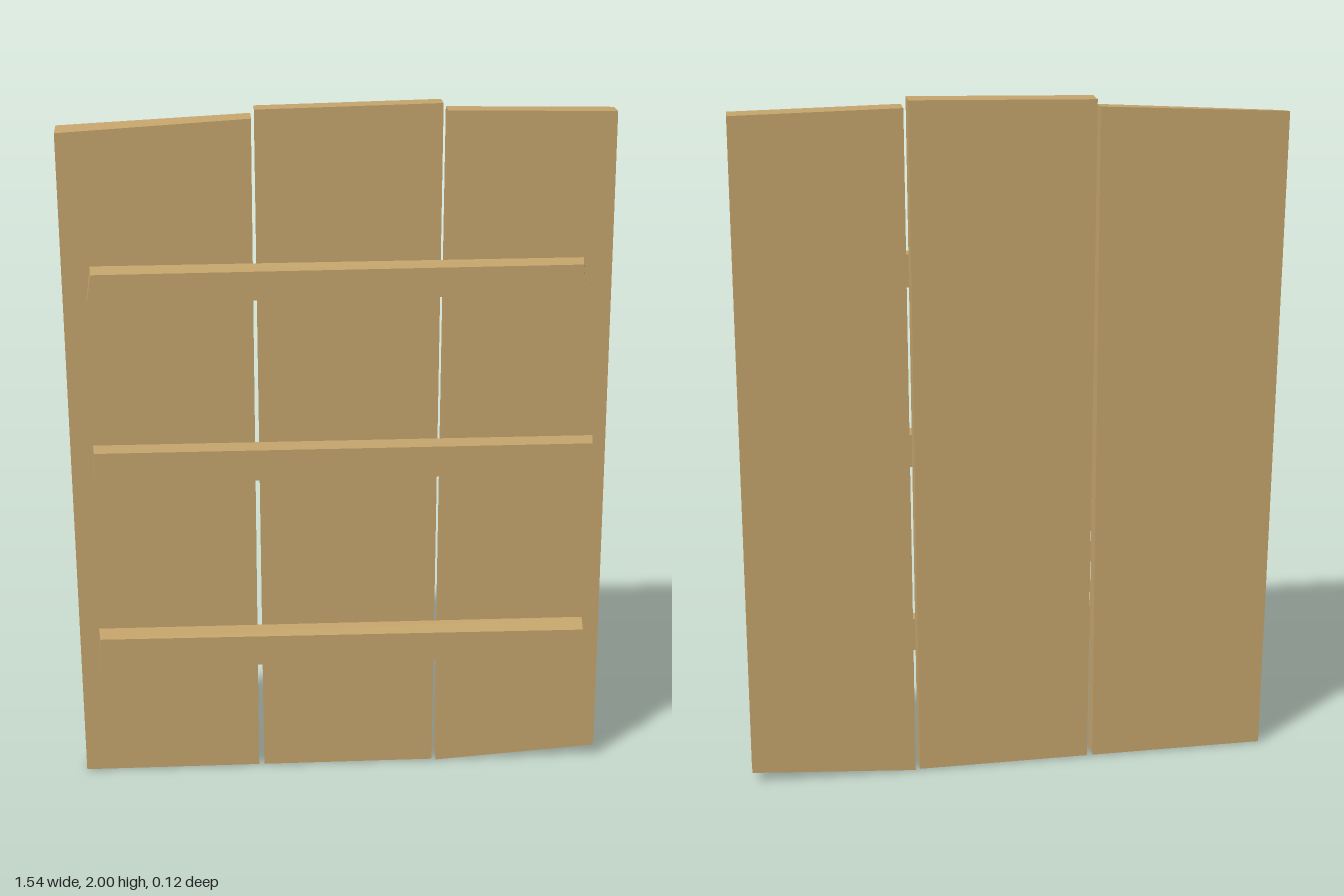
import * as THREE from 'three';

// Box whose corners are moved to the given front and back quads.
// Quad order: bottom left, bottom right, top right, top left.
function slab(name, material, zBack, zFront, front, back = front) {
  const geometry = new THREE.BoxGeometry(1, 1, 1);
  const p = geometry.attributes.position;
  for (let i = 0; i < p.count; i++) {
    const right = p.getX(i) > 0, top = p.getY(i) > 0, near = p.getZ(i) > 0;
    const corner = top ? (right ? 2 : 3) : (right ? 1 : 0);
    const [x, y] = (near ? front : back)[corner];
    p.setXYZ(i, x, y, near ? zFront : zBack);
  }
  const flat = geometry.toNonIndexed();
  flat.computeVertexNormals();
  const mesh = new THREE.Mesh(flat, material);
  mesh.name = name;
  return mesh;
}

export function createModel() {
  const group = new THREE.Group();
  group.name = 'plankPanel';
  const wood = new THREE.MeshStandardMaterial({ color: 0xc4a46c });
  wood.name = 'wood';

  // Three upright planks with uneven ends
  const planks = new THREE.Group();
  planks.name = 'planks';
  planks.add(
    slab('rightPlank', wood, -0.062, 0,
      [[-0.77, 0.003], [-0.252, 0.003], [-0.245, 1.964], [-0.77, 1.931]],
      [[-0.77, 0.003], [-0.252, 0.003], [-0.245, 1.968], [-0.77, 1.94]]),
    slab('middlePlank', wood, -0.062, 0,
      [[-0.236, 0.003], [0.272, 0.003], [0.272, 2], [-0.236, 1.988]]),
    slab('leftPlank', wood, -0.062, 0,
      [[0.285, 0], [0.767, 0.035], [0.746, 1.973], [0.285, 1.98]])
  );

  // Three cross battens, slightly tapered towards the front
  const battens = new THREE.Group();
  battens.name = 'battens';
  battens.add(
    slab('topBatten', wood, 0, 0.062,
      [[-0.7, 1.478], [0.67, 1.478], [0.66, 1.564], [-0.687, 1.556]],
      [[-0.704, 1.474], [0.676, 1.474], [0.67, 1.568], [-0.692, 1.564]]),
    slab('middleBatten', wood, 0, 0.062,
      [[-0.702, 0.949], [0.708, 0.949], [0.708, 1.04], [-0.7, 1.04]],
      [[-0.708, 0.945], [0.713, 0.945], [0.718, 1.042], [-0.706, 1.042]]),
    slab('bottomBatten', wood, 0, 0.062,
      [[-0.71, 0.37], [0.711, 0.37], [0.706, 0.455], [-0.707, 0.464]],
      [[-0.716, 0.367], [0.716, 0.367], [0.712, 0.467], [-0.714, 0.47]])
  );

  group.add(planks, battens);
  return group;
}
